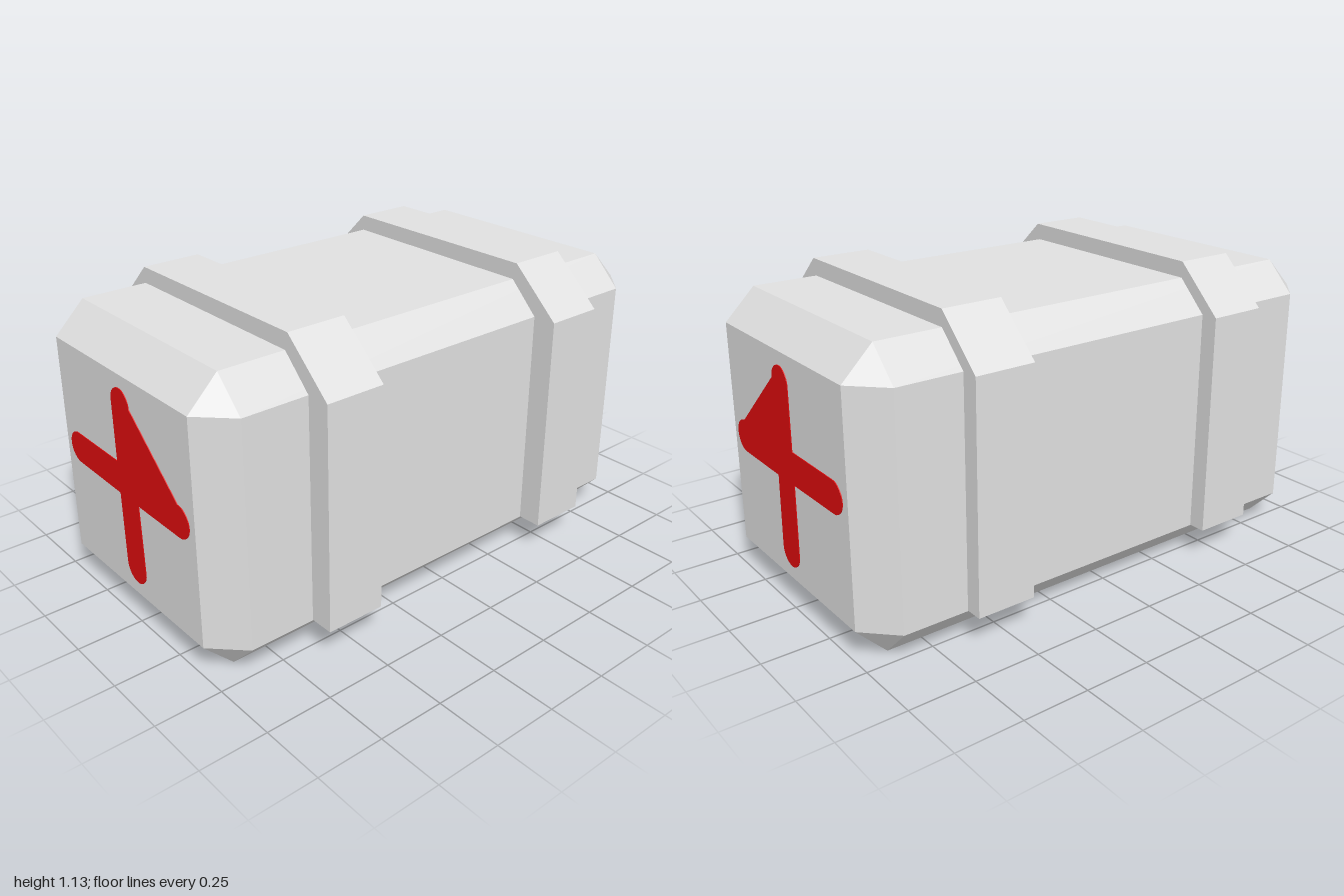
import * as THREE from 'three';
import { ConvexGeometry } from 'three/addons/geometries/ConvexGeometry.js';

const casing = new THREE.MeshStandardMaterial({ name: 'light grey casing', color: 0xe0e0e0 });
const red = new THREE.MeshStandardMaterial({ name: 'red paint', color: 0xe00c0e });

// Box with every edge and corner cut off at 45 degrees
function chamferedBox(w, h, d, c) {
  const points = [];
  for (const sx of [-1, 1]) for (const sy of [-1, 1]) for (const sz of [-1, 1]) {
    for (let axis = 0; axis < 3; axis++) {
      const p = [w / 2, h / 2, d / 2].map((v, i) => (i === axis ? v : v - c));
      points.push(new THREE.Vector3(p[0] * sx, p[1] * sy, p[2] * sz));
    }
  }
  return new ConvexGeometry(points);
}

// Hand-drawn cross with four round-ended arms
function crossShape() {
  const s = new THREE.Shape();
  s.moveTo(0.052, 0.618);
  s.absarc(-0.009, 0.849, 0.056, 0, Math.PI, false);
  s.lineTo(-0.064, 0.617);
  s.absarc(-0.341, 0.559, 0.059, Math.PI / 2, Math.PI * 1.5, false);
  s.lineTo(-0.063, 0.496);
  s.absarc(0.001, 0.224, 0.06, Math.PI, Math.PI * 2, false);
  s.lineTo(0.054, 0.494);
  s.absarc(0.311, 0.554, 0.06, -Math.PI / 2, Math.PI / 2, false);
  s.closePath();
  return s;
}

export function createModel() {
  const model = new THREE.Group();
  model.name = 'medicalCrate';
  const add = (name, geometry, material, x, y, z) => {
    const mesh = new THREE.Mesh(geometry, material);
    mesh.name = name;
    mesh.position.set(x, y, z);
    model.add(mesh);
  };

  // Main case
  add('caseBody', chamferedBox(1.06, 1.068, 1.994, 0.114), casing, -0.015, 0.534, 0);

  // Raised bands wrapping over the top and down both sides
  const profile = new THREE.Shape([
    [-0.61, 0.116], [0.607, 0.116], [0.607, 0.955],
    [0.415, 1.131], [-0.432, 1.128], [-0.61, 0.955],
  ].map(([x, y]) => new THREE.Vector2(x, y)));
  const band = new THREE.ExtrudeGeometry(profile, { depth: 0.227, bevelEnabled: false });
  add('frontBand', band, casing, 0, 0, 0.404);
  add('backBand', band, casing, 0, 0, -0.636);

  // Painted crosses on both ends
  const cross = new THREE.ExtrudeGeometry(crossShape(), { depth: 0.004, bevelEnabled: false, curveSegments: 10 });
  add('frontCross', cross, red, 0, 0, 0.996);
  add('backCross', cross, red, 0, 0, -1);

  return model;
}
